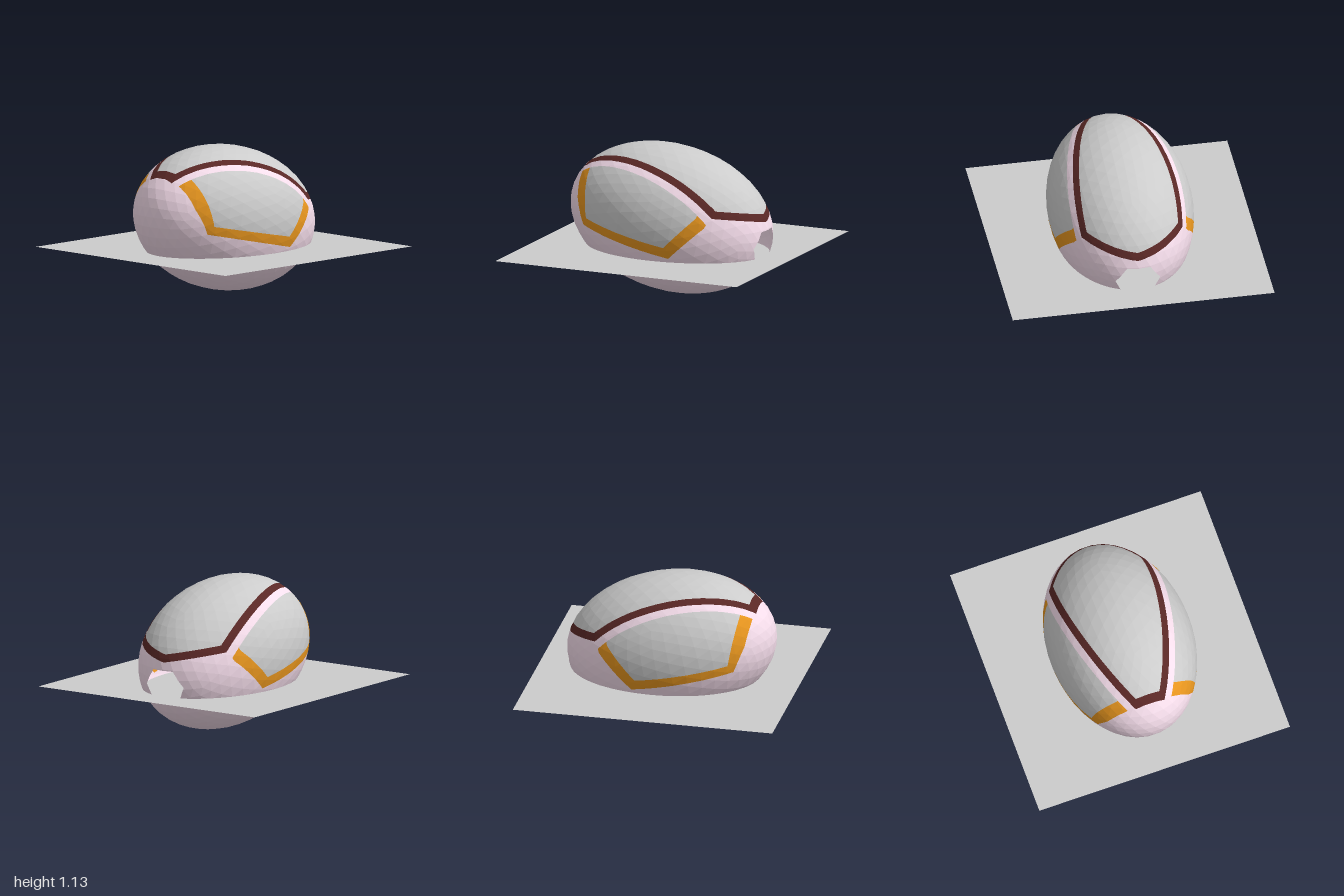
import * as THREE from 'three';

const V = (x, y, z) => new THREE.Vector3(x, y, z);
const mat = (color) => new THREE.MeshStandardMaterial({ color, flatShading: true, side: THREE.DoubleSide });

const GREY = mat(0xcccccc), PINK = mat(0xf6deec), BROWN = mat(0x5a2826), ORANGE = mat(0xe8961f);

// Keeps the side of the plane through a, b, c on which the point inside lies.
function planeThrough(a, b, c, inside) {
  const plane = new THREE.Plane().setFromCoplanarPoints(a, b, c);
  return plane.distanceToPoint(inside) < 0 ? plane.negate() : plane;
}
const shift = (plane, d) => new THREE.Plane(plane.normal.clone(), plane.constant + d);

// Planes of a convex prism: outline points are placed in space by at(u, v, depth).
function prism(points, at) {
  const mid = [0, 1].map((k) => points.reduce((s, p) => s + p[k], 0) / points.length);
  return points.map((p, i) => {
    const q = points[(i + 1) % points.length];
    return planeThrough(at(...p, 0), at(...q, 0), at(...p, 1), at(...mid, 0));
  });
}

// Splits a convex polygon by a plane into the part in front and the part behind.
function split(poly, plane) {
  const front = [], back = [];
  poly.forEach((p, i) => {
    const q = poly[(i + 1) % poly.length];
    const dp = plane.distanceToPoint(p), dq = plane.distanceToPoint(q);
    (dp >= 0 ? front : back).push(p);
    if (dp >= 0 !== dq >= 0) {
      const cut = p.clone().lerp(q, dp / (dp - dq));
      front.push(cut);
      back.push(cut);
    }
  });
  return [front, back];
}

// Cuts a convex region out of a list of polygons.
function carve(polys, planes) {
  const inside = [], outside = [];
  for (const poly of polys) {
    let piece = poly;
    for (const plane of planes) {
      const [front, back] = split(piece, plane);
      if (back.length > 2) outside.push(back);
      piece = front;
      if (piece.length < 3) break;
    }
    if (piece.length > 2) inside.push(piece);
  }
  return [inside, outside];
}

function polyMesh(polys, material, name) {
  const pos = [];
  for (const p of polys)
    for (let i = 1; i < p.length - 1; i++)
      for (const v of [p[0], p[i], p[i + 1]]) pos.push(v.x, v.y, v.z);
  const geo = new THREE.BufferGeometry();
  geo.setAttribute('position', new THREE.Float32BufferAttribute(pos, 3));
  geo.computeVertexNormals();
  const mesh = new THREE.Mesh(geo, material);
  mesh.name = name;
  return mesh;
}

export function createModel() {
  const model = new THREE.Group();
  model.name = 'paintedShell';

  // Tilted, faceted ellipsoid as a list of triangles
  const egg = new THREE.IcosahedronGeometry(1, 7).toNonIndexed
    ? new THREE.IcosahedronGeometry(1, 7) : null;
  egg.scale(0.81, 0.55, 0.547).rotateZ(-0.2).translate(0, 0.56, 0);
  const p = egg.attributes.position;
  let rest = [];
  for (let i = 0; i < p.count; i += 3)
    rest.push([0, 1, 2].map((k) => new THREE.Vector3().fromBufferAttribute(p, i + k)));

  const take = (planes, material, name) => {
    const [inside, outside] = carve(rest, planes);
    rest = outside;
    if (material) model.add(polyMesh(inside, material, name));
  };

  // Top panel: two long edges, a pointed front and a straight rear
  const core = V(0, 1, 0);
  const sideEdge = (s) => planeThrough(
    V(0.52, 0.68, 0.39 * s), V(0, 0.975, 0.36 * s), V(-0.66, 0.93, 0.13 * s), core);
  const frontEdge = (s) => planeThrough(
    V(0, 0.6, 0), V(1, 0.6, 0), V(0, 0.68, 0.39 * s), core);
  const rearEdge = new THREE.Plane(V(1, 0, 0), 0.675);
  const top = [sideEdge(1), sideEdge(-1), frontEdge(1), frontEdge(-1), rearEdge];
  take(top.map((e) => shift(e, -0.057)), GREY, 'topPanel');
  take(top, BROWN, 'topPanelFrame');

  // Side panels with a frame along the rear, bottom and front
  const facingZ = (x, y, d) => V(x, y, d);
  const inner = [[-0.62, 1.2], [-0.575, 0.92], [-0.575, 0.8], [-0.53, 0.59],
    [0.17, 0.45], [0.4, 0.68], [0.6, 1.2]];
  const outer = [[-0.69, 1.2], [-0.66, 0.88], [-0.632, 0.72], [-0.56, 0.53],
    [0.2, 0.365], [0.465, 0.61], [0.75, 1.2]];
  for (const s of [1, -1]) {
    const name = s > 0 ? 'left' : 'right';
    const below = shift(sideEdge(s).negate(), -0.056);
    take([below, ...prism(inner, facingZ)], GREY, name + 'SidePanel');
    take([below, ...prism(outer, facingZ)], ORANGE, name + 'SideFrame');
  }

  // Six-sided opening at the +x end
  const facingX = (z, y, d) => V(d, y, z);
  const opening = [[0.09, 0.54], [0.17, 0.42], [0.13, 0.33],
    [-0.13, 0.33], [-0.17, 0.42], [-0.09, 0.54]];
  take([new THREE.Plane(V(1, 0, 0), 0), ...prism(opening, facingX)]);

  model.add(polyMesh(rest, PINK, 'shell'));

  // Waisted dark plate inside, seen through the opening
  const waist = new THREE.Shape(
    [[-0.1, 0.54], [-0.065, 0.46], [-0.07, 0.335], [0.07, 0.335], [0.065, 0.46], [0.1, 0.54]]
      .map((q) => new THREE.Vector2(...q)));
  const plate = new THREE.Mesh(new THREE.ShapeGeometry(waist), BROWN);
  plate.name = 'innerPlate';
  plate.rotation.y = Math.PI / 2;
  plate.position.x = -0.58;
  model.add(plate);

  // Square ground sheet crossing the shell
  const sheet = new THREE.Mesh(new THREE.PlaneGeometry(2, 2), GREY);
  sheet.name = 'groundSheet';
  sheet.rotation.x = -Math.PI / 2;
  sheet.position.y = 0.335;
  model.add(sheet);

  return model;
}
